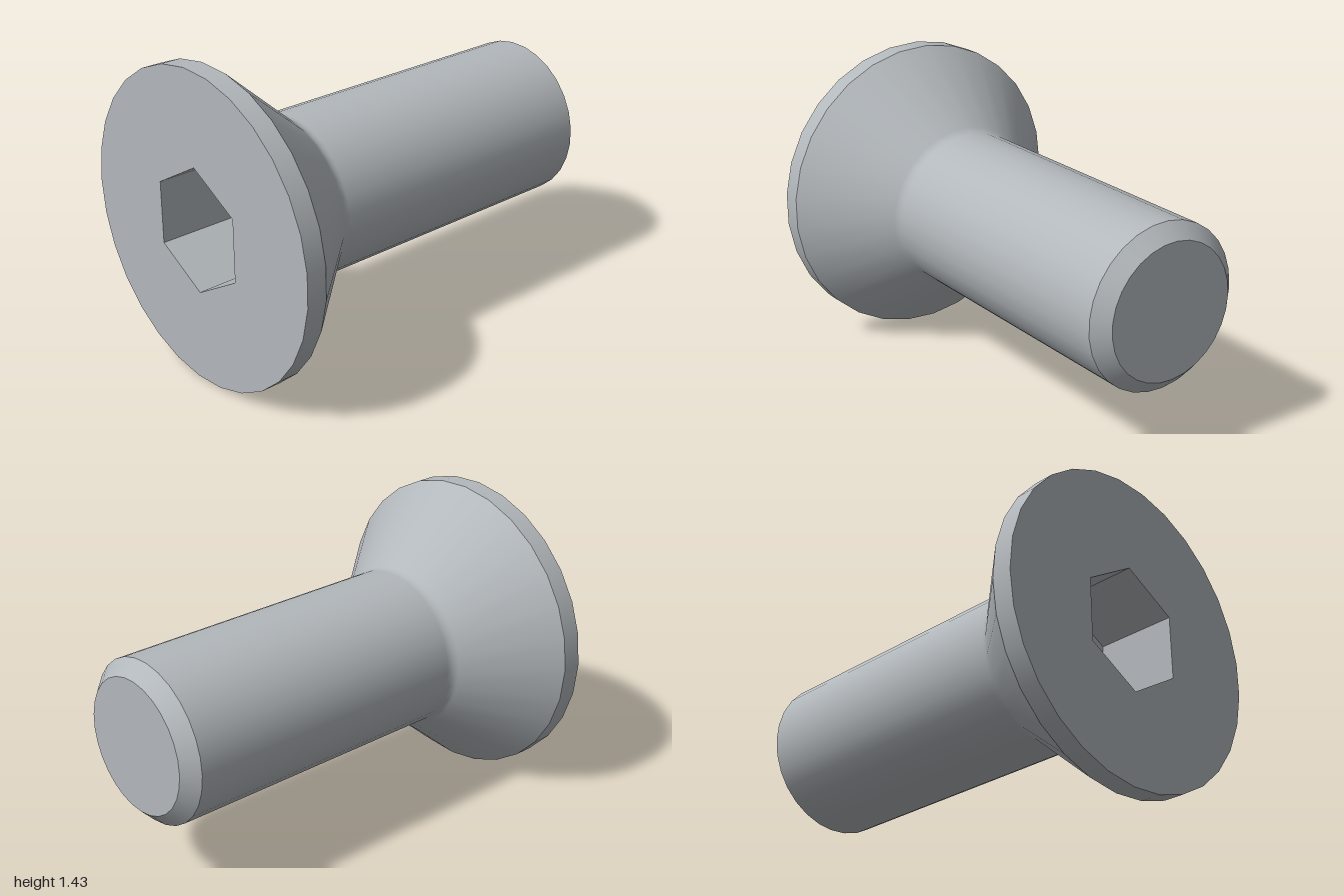
import * as THREE from 'three';

const SIDES = 29;
const CENTER_Y = 0.72;
const HEAD_R = 0.717, SHAFT_R = 0.377, TIP_R = 0.31;
const HEX_R = 0.289, DRILL_R = 0.25;
const FLOOR_Z = 0.62;

export function createModel() {
  const screw = new THREE.Group();
  screw.name = 'countersunkScrew';
  const steel = new THREE.MeshStandardMaterial({ color: 0xb3b8bc });
  steel.name = 'steelGrey';

  const add = (name, geometry) => {
    const mesh = new THREE.Mesh(geometry, steel);
    mesh.name = name;
    mesh.position.y = CENTER_Y;
    screw.add(mesh);
  };

  // Turned surface around the z axis; profile points are [radius, z]
  const turned = (profile, sides = SIDES, start = -Math.PI / 2) =>
    new THREE.LatheGeometry(profile.map(([r, z]) => new THREE.Vector2(r, z)), sides, start)
      .rotateX(Math.PI / 2);

  // Corners of a regular polygon in the xy plane
  const polygon = (radius, sides, start) =>
    Array.from({ length: sides }, (_, i) => {
      const a = start + (i / sides) * Math.PI * 2;
      return new THREE.Vector2(radius * Math.cos(a), radius * Math.sin(a));
    });

  // Flat polygon facing forward with a polygonal hole
  const plate = (outer, hole, z) => {
    const shape = new THREE.Shape(outer);
    shape.holes.push(new THREE.Path(hole));
    return new THREE.ShapeGeometry(shape).translate(0, 0, z);
  };

  // Tip: end face and chamfer
  add('tipFace', turned([[0, -1], [TIP_R, -1]]));
  add('tipChamfer', turned([[TIP_R, -1], [SHAFT_R, -0.935]]));

  // Shaft blending through a small fillet into the conical head
  const fillet = new THREE.QuadraticBezierCurve(
    new THREE.Vector2(SHAFT_R, 0.48),
    new THREE.Vector2(SHAFT_R, 0.51),
    new THREE.Vector2(0.397, 0.533)
  ).getPoints(6).map((p) => [p.x, p.y]);
  add('shaftAndCone', turned([[SHAFT_R, -0.935], ...fillet, [HEAD_R, 0.905]]));

  // Head rim and front face with the hexagonal opening
  add('headRim', turned([[HEAD_R, 0.905], [HEAD_R, 1]]));
  const hexagon = polygon(HEX_R, 6, Math.PI / 2);
  add('headFace', plate(polygon(HEAD_R, SIDES, Math.PI), hexagon, 1));

  // Hex socket: flat walls, floor corners and drilled cone
  const walls = turned([[HEX_R, 1], [HEX_R, FLOOR_Z]], 6, 0).toNonIndexed();
  walls.computeVertexNormals();
  add('socketWalls', walls);
  add('socketFloor', plate(hexagon, polygon(DRILL_R, SIDES, Math.PI), FLOOR_Z));
  add('socketCone', turned([[DRILL_R, FLOOR_Z], [0, FLOOR_Z - 0.145]]));

  return screw;
}
